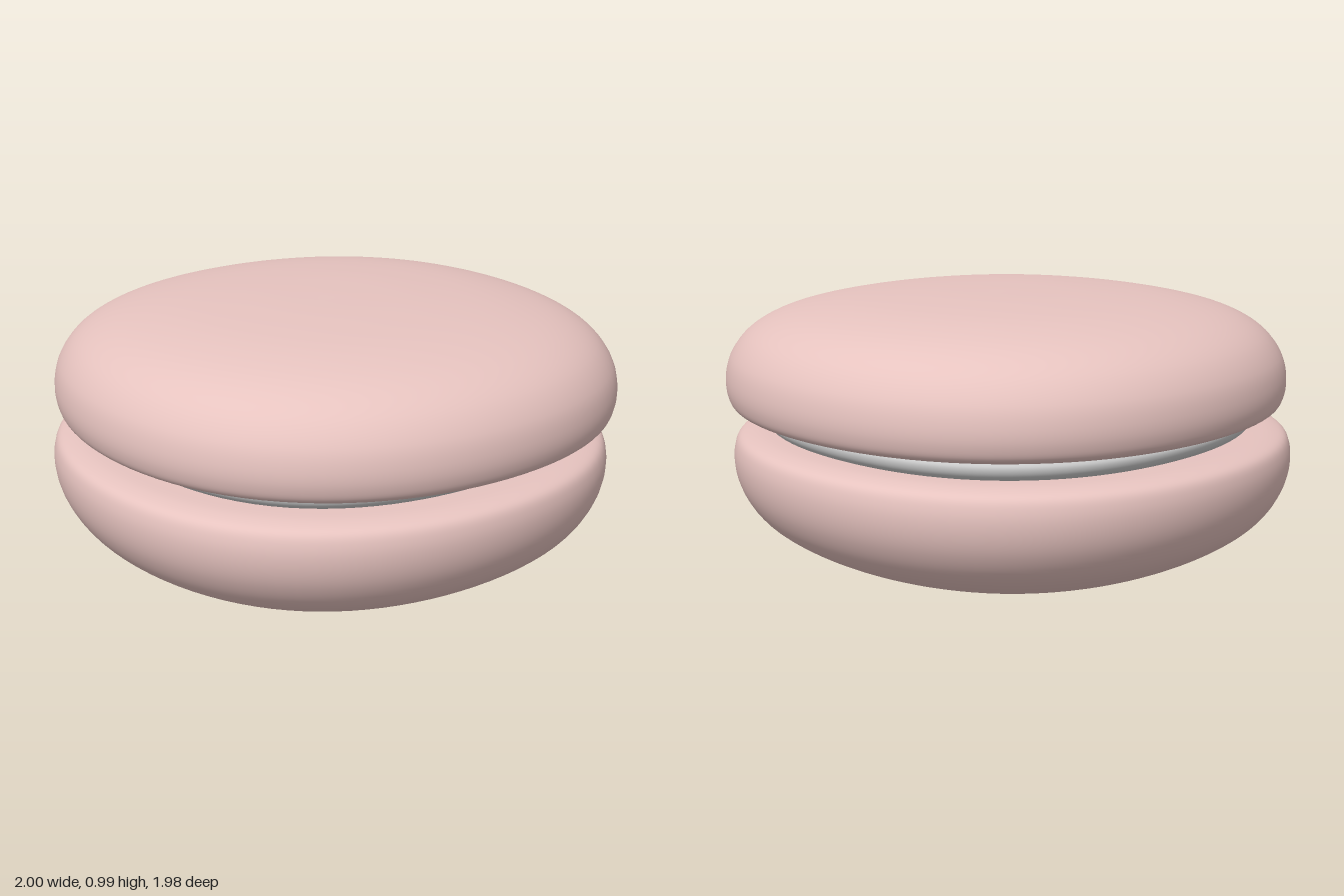
import * as THREE from 'three';
import { mergeVertices } from 'three/addons/utils/BufferGeometryUtils.js';

// Profiles as [radius, height], from the bottom up
const UPPER = [
  [0, 0], [0.5, 0], [0.82, 0.002], [0.92, 0.008], [0.965, 0.027], [0.983, 0.07],
  [0.985, 0.13], [0.966, 0.2], [0.91, 0.275], [0.81, 0.335], [0.62, 0.383], [0.32, 0.41], [0, 0.417],
];
const LOWER = [
  [0, 0.005], [0.28, 0.013], [0.5, 0.038], [0.68, 0.08], [0.82, 0.145], [0.91, 0.215], [0.962, 0.295],
  [0.984, 0.37], [0.984, 0.44], [0.966, 0.485], [0.92, 0.505], [0.82, 0.512], [0.5, 0.514], [0, 0.514],
];
const FILLING = [
  [0, 0.49], [0.5, 0.49], [0.76, 0.495], [0.82, 0.512], [0.842, 0.535],
  [0.845, 0.56], [0.825, 0.58], [0.76, 0.595], [0.5, 0.6], [0, 0.6],
];

// Smooth lathe whose round plan is eased slightly towards a square
function softDisc(profile, squareness) {
  const curve = new THREE.CatmullRomCurve3(profile.map(([r, y]) => new THREE.Vector3(r, y, 0)), false, 'centripetal');
  const points = curve.getPoints(72).map((p) => new THREE.Vector2(Math.max(p.x, 0), p.y));
  points[0].x = points[points.length - 1].x = 0;
  let geometry = new THREE.LatheGeometry(points, 96);
  const pos = geometry.attributes.position;
  for (let i = 0; i < pos.count; i++) {
    const x = pos.getX(i), z = pos.getZ(i);
    const swell = 1 + squareness * Math.sin(2 * Math.atan2(z, x)) ** 2;
    pos.setX(i, x * swell);
    pos.setZ(i, z * swell);
  }
  geometry.deleteAttribute('uv');
  geometry.deleteAttribute('normal');
  geometry = mergeVertices(geometry, 1e-5);
  geometry.computeVertexNormals();
  return geometry;
}

export function createModel() {
  const group = new THREE.Group();
  const pink = new THREE.MeshStandardMaterial({ color: 0xe6c3bf });
  const grey = new THREE.MeshStandardMaterial({ color: 0xcccccc });

  function add(name, geometry, material, x, y, z) {
    const mesh = new THREE.Mesh(geometry, material);
    mesh.name = name;
    mesh.position.set(x, y, z);
    group.add(mesh);
  }

  // Two shells, shifted a little against each other
  add('upperShell', softDisc(UPPER, 0.025), pink, 0.013, 0.574, -0.002);
  add('lowerShell', softDisc(LOWER, 0.025), pink, -0.013, 0, 0.004);

  // Cream between the shells
  add('filling', softDisc(FILLING, 0.045), grey, -0.01, 0, -0.01);
  return group;
}
